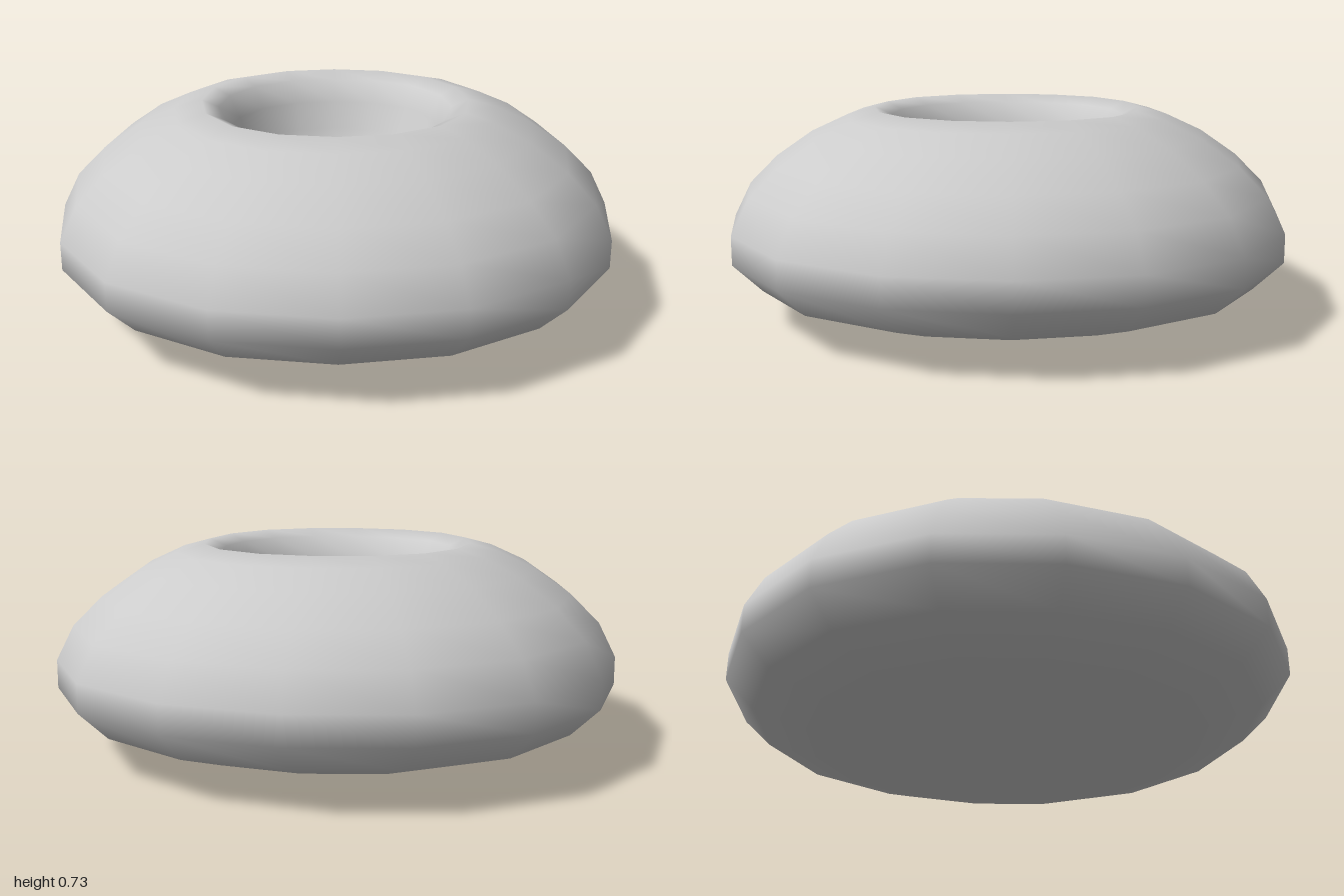
import * as THREE from 'three';
import { mergeVertices } from 'three/addons/utils/BufferGeometryUtils.js';

export function createModel() {
  const group = new THREE.Group();
  group.name = 'roundCushion';

  // Closed section: underside, bulging side, rim, then down into the hollow
  const profile = [
    [0, 0], [0.2, 0.007], [0.4, 0.02], [0.7, 0.06], [0.9, 0.13], [1, 0.23],
    [1, 0.33], [0.94, 0.45], [0.84, 0.55], [0.71, 0.64], [0.58, 0.7], [0.48, 0.727],
    [0.42, 0.70], [0.38, 0.62], [0.35, 0.52], [0.3, 0.43], [0.22, 0.37], [0.12, 0.34], [0, 0.33],
  ].map(([r, y]) => new THREE.Vector2(r, y));

  let geometry = new THREE.LatheGeometry(profile, 16);

  // Slightly squared plan: the diagonals swell a little
  const pos = geometry.attributes.position;
  for (let i = 0; i < pos.count; i++) {
    const x = pos.getX(i), z = pos.getZ(i);
    const swell = 1 + 0.028 * Math.sin(2 * Math.atan2(x, z)) ** 2;
    pos.setX(i, x * swell);
    pos.setZ(i, z * swell);
  }

  // Weld the seam and smooth the shading
  geometry.deleteAttribute('uv');
  geometry.deleteAttribute('normal');
  geometry = mergeVertices(geometry, 1e-4);
  geometry.computeVertexNormals();

  const body = new THREE.Mesh(geometry, new THREE.MeshStandardMaterial({ color: 0xcccccc }));
  body.name = 'dimpledBody';
  group.add(body);
  return group;
}
